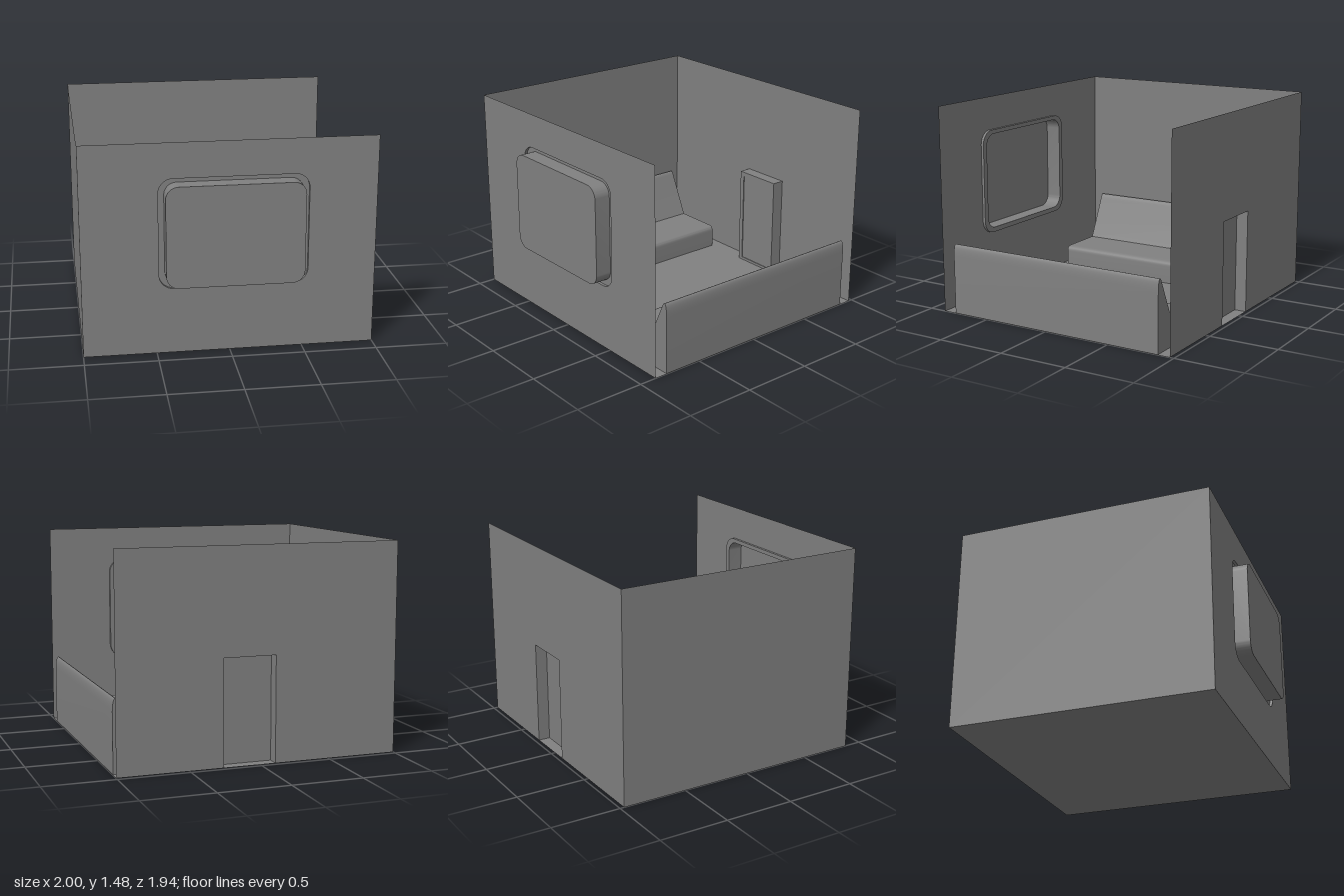
import * as THREE from 'three';
import { toCreasedNormals } from 'three/addons/utils/BufferGeometryUtils.js';

const FRONT = 0.875, BACK = -0.97, HEIGHT = 1.48;
const DEPTH = FRONT - BACK;

function rectShape(x0, x1, y0, y1) {
  return new THREE.Shape([[x0, y0], [x1, y0], [x1, y1], [x0, y1]].map(p => new THREE.Vector2(...p)));
}

function roundedRect(x0, x1, y0, y1, r) {
  const s = new THREE.Shape();
  s.moveTo(x0 + r, y0);
  s.lineTo(x1 - r, y0);
  s.absarc(x1 - r, y0 + r, r, -Math.PI / 2, 0);
  s.lineTo(x1, y1 - r);
  s.absarc(x1 - r, y1 - r, r, 0, Math.PI / 2);
  s.lineTo(x0 + r, y1);
  s.absarc(x0 + r, y1 - r, r, Math.PI / 2, Math.PI);
  s.lineTo(x0, y0 + r);
  s.absarc(x0 + r, y0 + r, r, Math.PI, Math.PI * 1.5);
  return s;
}

// Open sleeve following a closed outline from z0 to z1
function sleeve(shape, z0, z1) {
  const pts = shape.getPoints(8);
  const pos = [];
  pts.forEach((a, i) => {
    const b = pts[(i + 1) % pts.length];
    if (a.distanceTo(b) < 1e-6) return;
    pos.push(a.x, a.y, z0, b.x, b.y, z0, b.x, b.y, z1);
    pos.push(a.x, a.y, z0, b.x, b.y, z1, a.x, a.y, z1);
  });
  const g = new THREE.BufferGeometry();
  g.setAttribute('position', new THREE.Float32BufferAttribute(pos, 3));
  return toCreasedNormals(g, 0.6);
}

export function createModel() {
  const model = new THREE.Group();
  model.name = 'cabin';
  const grey = new THREE.MeshStandardMaterial({ color: 0x808080, side: THREE.DoubleSide });
  grey.name = 'grey';

  const add = (name, geometry, x = 0, y = 0, z = 0, parent = model) => {
    const mesh = new THREE.Mesh(geometry, grey);
    mesh.name = name;
    mesh.position.set(x, y, z);
    parent.add(mesh);
    return mesh;
  };

  // Floor and the closed side wall; the opposite side stays open
  const midZ = (FRONT + BACK) / 2;
  add('floor', new THREE.PlaneGeometry(2, DEPTH).rotateX(-Math.PI / 2), 0, 0, midZ);
  add('sideWall', new THREE.PlaneGeometry(DEPTH, HEIGHT).rotateY(-Math.PI / 2), -1, HEIGHT / 2, midZ);

  // Front wall with a stepped, rounded window bay
  const outer = roundedRect(-0.48, 0.535, 0.465, 1.235, 0.1);
  const inner = roundedRect(-0.44, 0.495, 0.5, 1.205, 0.085);
  const frontWall = rectShape(-1, 1, 0, HEIGHT);
  frontWall.holes.push(outer);
  add('frontWall', new THREE.ShapeGeometry(frontWall, 8), 0, 0, FRONT);

  const bay = new THREE.Group();
  bay.name = 'windowBay';
  model.add(bay);
  const ring = outer.clone();
  ring.holes.push(inner);
  add('windowRim', sleeve(outer, 0.855, FRONT), 0, 0, 0, bay);
  add('windowLedge', new THREE.ShapeGeometry(ring, 8), 0, 0, 0.855, bay);
  add('windowSleeve', sleeve(inner, 0.855, 0.97), 0, 0, 0, bay);
  add('windowPane', new THREE.ShapeGeometry(inner, 8), 0, 0, 0.97, bay);

  // Back wall with a doorway niche pushed into the room
  const dx0 = -0.11, dx1 = 0.26, dTop = 0.74, dz = -0.885;
  const backWall = new THREE.Shape([
    [-1, 0], [dx0, 0], [dx0, dTop], [dx1, dTop], [dx1, 0], [1, 0], [1, HEIGHT], [-1, HEIGHT],
  ].map(p => new THREE.Vector2(...p)));
  add('backWall', new THREE.ShapeGeometry(backWall), 0, 0, BACK);

  const niche = new THREE.Group();
  niche.name = 'doorNiche';
  model.add(niche);
  const nicheDepth = dz - BACK, nicheZ = (dz + BACK) / 2;
  for (const x of [dx0, dx1]) {
    add('doorJamb', new THREE.PlaneGeometry(nicheDepth, dTop).rotateY(Math.PI / 2), x, dTop / 2, nicheZ, niche);
  }
  add('doorLintel', new THREE.PlaneGeometry(dx1 - dx0, nicheDepth).rotateX(-Math.PI / 2),
    (dx0 + dx1) / 2, dTop, nicheZ, niche);
  add('doorPanel', new THREE.ShapeGeometry(rectShape(dx0, dx1, 0, dTop)), 0, 0, dz, niche);
  const trim = rectShape(dx0, dx1, 0, dTop);
  trim.holes.push(rectShape(dx0 + 0.035, dx1 - 0.035, 0.02, dTop - 0.035));
  add('doorTrim', new THREE.ExtrudeGeometry(trim, { depth: 0.006, bevelEnabled: false }), 0, 0, dz, niche);

  // Benches with a sloping backrest, one along each side
  for (const side of [1, -1]) {
    const s = new THREE.Shape();
    const X = x => side * x;
    s.moveTo(X(0.992), 0);
    s.lineTo(X(0.992), 0.42);
    s.quadraticCurveTo(X(0.99), 0.5, X(0.972), 0.505);
    s.quadraticCurveTo(X(0.958), 0.505, X(0.945), 0.47);
    s.lineTo(X(0.805), 0.17);
    s.lineTo(X(0.48), 0.17);
    s.quadraticCurveTo(X(0.44), 0.17, X(0.44), 0.13);
    s.lineTo(X(0.44), 0);
    const g = new THREE.ExtrudeGeometry(s, { depth: 1.66, bevelEnabled: false, curveSegments: 6 });
    add(side > 0 ? 'leftBench' : 'rightBench', toCreasedNormals(g, 0.6), 0.004, 0, -0.88);
  }
  return model;
}
